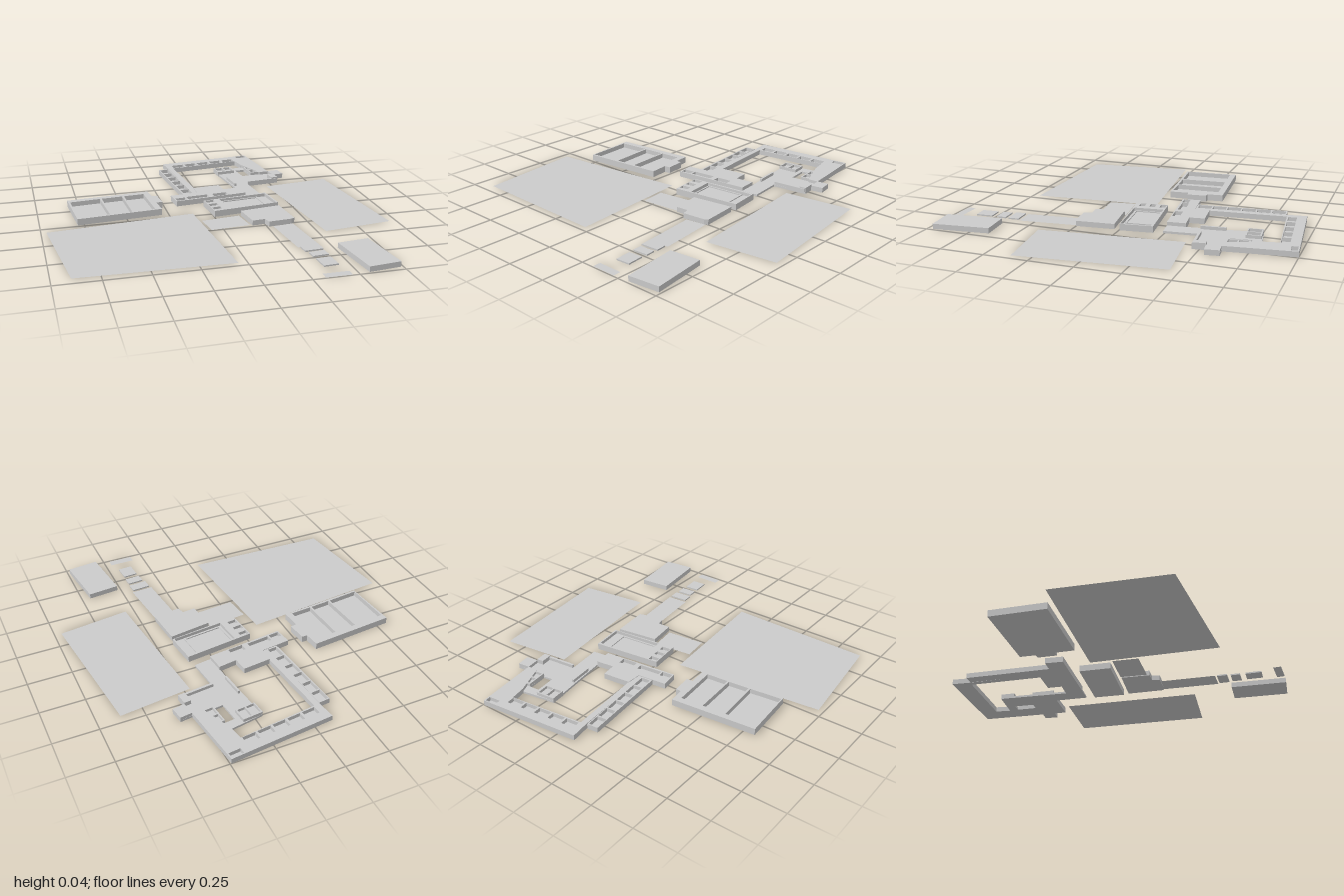
import * as THREE from 'three';

const TILT = 0.105; // the whole site is turned slightly from the axes
const mat = new THREE.MeshStandardMaterial({ color: 0xcccccc, flatShading: true, side: THREE.DoubleSide });

// Rectangle on the site grid: back left corner, width and depth
function rect(x, z, w, d, a = TILT) {
  const c = Math.cos(a), s = Math.sin(a);
  return [[x, z], [x + w * c, z - w * s], [x + w * c + d * s, z - w * s + d * c], [x + d * s, z + d * c]];
}

// Row of equal rectangles, along the width or along the depth
function row(x, z, w, d, n, pitch, along) {
  const c = Math.cos(TILT) * pitch, s = Math.sin(TILT) * pitch;
  return Array.from({ length: n }, (_, i) =>
    along === 'width' ? rect(x + i * c, z - i * s, w, d) : rect(x + i * s, z + i * c, w, d));
}

const toPoints = (pts) => pts.map(([x, z]) => new THREE.Vector2(x, -z));

export function createModel() {
  const model = new THREE.Group();

  // Flat sheet (no height) or upright block over a plan outline
  function slab(name, outline, height = 0, holes = [], base = 0) {
    const shape = new THREE.Shape(toPoints(outline));
    holes.forEach((h) => shape.holes.push(new THREE.Path(toPoints(h))));
    const geo = height
      ? new THREE.ExtrudeGeometry(shape, { depth: height, bevelEnabled: false })
      : new THREE.ShapeGeometry(shape);
    geo.rotateX(-Math.PI / 2);
    const mesh = new THREE.Mesh(geo, mat);
    mesh.name = name;
    mesh.position.y = base;
    model.add(mesh);
  }

  // Block with sunken rooms
  function sunken(name, outline, height, rooms, floor) {
    slab(name, outline, height, rooms);
    rooms.forEach((r) => slab(name + 'Floor', r, floor));
  }

  // Open ground
  slab('westField', [[-0.97, 0.053], [-0.11, -0.037], [-0.048, 0.714], [-0.897, 0.69]]);
  slab('eastField', [[0.466, -0.402], [0.873, -0.45], [0.96, 0.365], [0.55, 0.418]]);
  slab('terrace', [[-0.085, 0.09], [0.143, 0.063], [0.164, 0.222], [-0.067, 0.243]]);
  slab('walk', [[0.286, 0.275], [0.408, 0.259], [0.442, 0.593], [0.317, 0.6]]);
  slab('entranceStrip', [[0.32, 0.947], [0.464, 0.947], [0.464, 0.993], [0.32, 0.993]]);

  // Steps along the walk
  [[0.328, 0.61, 0.106, 0.06], [0.344, 0.69, 0.09, 0.055], [0.352, 0.777, 0.082, 0.095]]
    .forEach(([x, z, w, d]) => slab('step', rect(x, z, w, d, 0.07), 0.008));

  // Plain blocks at the front
  slab('gatehouse', [[0.52, 0.658], [0.7, 0.64], [0.738, 0.966], [0.557, 0.986]], 0.03);
  slab('frontHall', [[0.155, 0.065], [0.4, 0.03], [0.42, 0.25], [0.4, 0.26], [0.262, 0.273],
    [0.25, 0.228], [0.176, 0.234]], 0.03);

  // West enclosure with three sunken bays
  sunken('bayEnclosure', [[-0.815, -0.342], [-0.317, -0.387], [-0.307, -0.295], [-0.275, -0.295],
    [-0.263, -0.18], [-0.3, -0.175], [-0.29, -0.062], [-0.788, -0.015]], 0.038, [
    [[-0.8, -0.306], [-0.62, -0.324], [-0.598, -0.047], [-0.784, -0.028]],
    [[-0.609, -0.324], [-0.482, -0.335], [-0.466, -0.059], [-0.588, -0.048]],
    [[-0.471, -0.335], [-0.349, -0.346], [-0.328, -0.069], [-0.455, -0.06]],
  ], 0.01);

  // Central hall: sunken basin beside three small side rooms
  sunken('centralHall', [[-0.018, -0.14], [0.385, -0.19], [0.407, -0.003], [0.002, 0.048]], 0.037, [
    rect(0.08, -0.143, 0.3, 0.17),
    ...row(-0.012, -0.134, 0.052, 0.033, 3, 0.061, 'depth'),
  ], 0.018);
  slab('basinRim', rect(0.09, -0.14, 0.235, 0.155), 0.006, [rect(0.098, -0.132, 0.219, 0.139)], 0.018);

  // Cloister: north and west ranges with rows of sunken cells
  sunken('northRange', [[-0.106, -0.937], [0.492, -1], [0.54, -0.614], [0.481, -0.608],
    [0.405, -0.795], [0.388, -0.884], [-0.058, -0.83], [-0.016, -0.392], [-0.016, -0.3],
    [-0.048, -0.307], [-0.09, -0.825]], 0.03, [
    ...row(-0.057, -0.888, 0.077, 0.048, 5, 0.09, 'width'),
    rect(0.418, -0.985, 0.068, 0.035),
  ], 0.008);
  sunken('westCells', rect(-0.159, -0.815, 0.066, 0.522, 0.096), 0.03,
    row(-0.153, -0.808, 0.054, 0.077, 6, 0.0855, 'depth'), 0.008);

  // South range
  sunken('southRange', [[-0.19, -0.286], [-0.02, -0.306], [-0.02, -0.392], [0.145, -0.41], [0.155, -0.323],
    [0.262, -0.338], [0.272, -0.23], [-0.175, -0.18]], 0.033, [
    rect(-0.174, -0.228, 0.062, 0.038),
    rect(-0.104, -0.241, 0.136, 0.04),
    rect(0.064, -0.257, 0.09, 0.044),
  ], 0.01);

  // East court: low floor with a light well, upright rooms and walls
  slab('courtFloor', [[0.206, -0.76], [0.405, -0.792], [0.475, -0.81], [0.495, -0.61], [0.608, -0.624],
    [0.62, -0.545], [0.55, -0.534], [0.556, -0.46], [0.35, -0.437], [0.37, -0.243], [0.272, -0.23],
    [0.26, -0.343]], 0.012, [rect(0.35, -0.73, 0.058, 0.122)]);
  sunken('courtRooms', rect(0.206, -0.76, 0.115, 0.085), 0.03, [
    rect(0.213, -0.752, 0.047, 0.07), rect(0.268, -0.758, 0.045, 0.07)], 0.014);
  sunken('eastRooms', rect(0.408, -0.736, 0.077, 0.125), 0.03, [
    rect(0.416, -0.728, 0.06, 0.05), rect(0.423, -0.67, 0.06, 0.05)], 0.014);
  slab('cornerRoom', rect(0.4, -0.84, 0.07, 0.05), 0.03);
  slab('courtWall', rect(0.242, -0.56, 0.012, 0.14), 0.03);
  slab('wingWall', rect(0.35, -0.452, 0.2, 0.014), 0.03);
  slab('wingPorch', [[0.54, -0.614], [0.608, -0.624], [0.62, -0.545], [0.55, -0.534]], 0.03);
  slab('wingPier', rect(0.51, -0.53, 0.04, 0.07), 0.037);

  return model;
}
